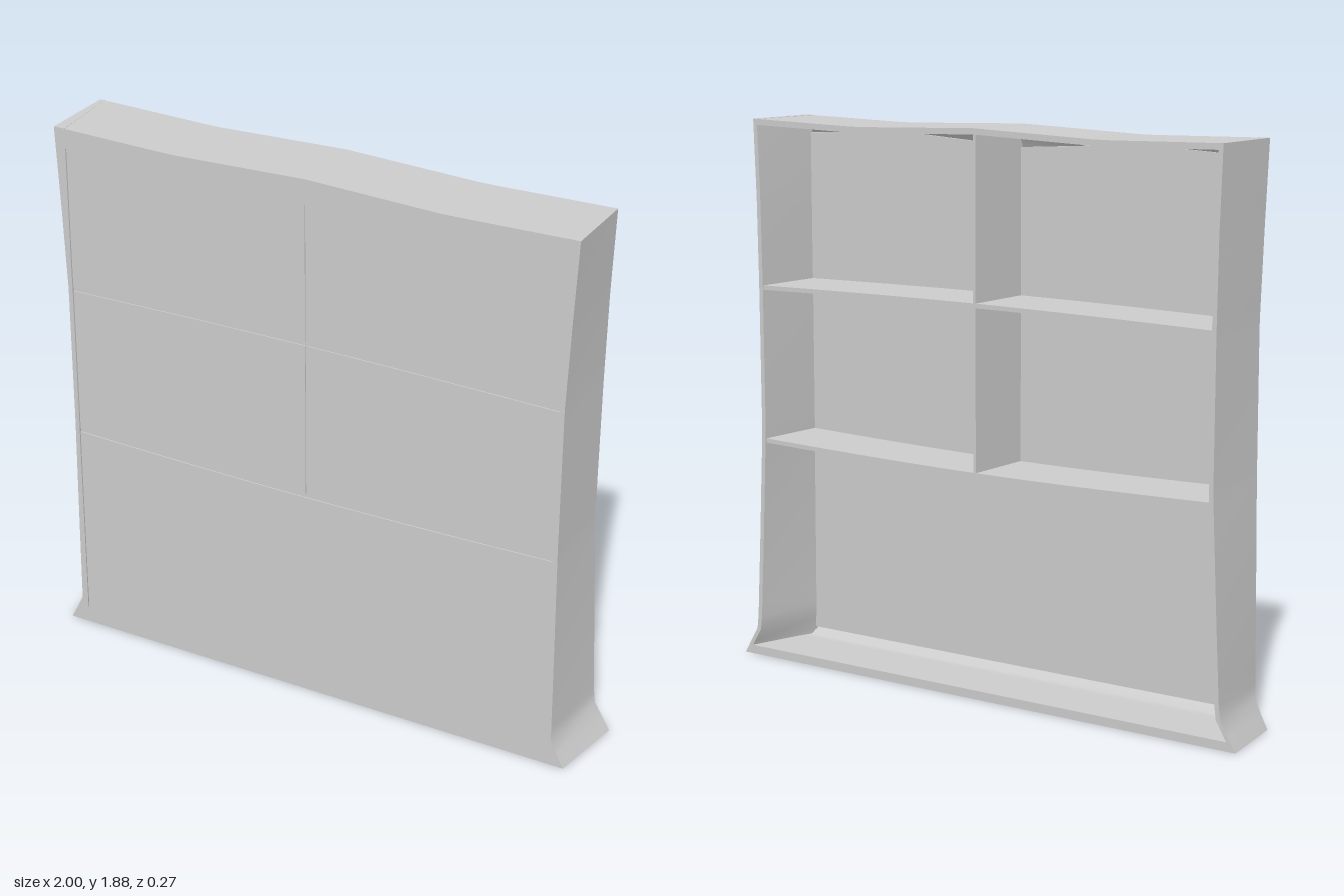
import * as THREE from 'three';

const FRONT = 0.136, BACK = -0.136;
const material = new THREE.MeshStandardMaterial({ color: 0xcccccc });
const lerp = THREE.MathUtils.lerp;

// Linear interpolation through [position, value] pairs
function profile(points, t) {
  for (let i = 1; i < points.length; i++) {
    const [a, va] = points[i - 1], [b, vb] = points[i];
    if (t <= b) return lerp(va, vb, Math.max(0, (t - a) / (b - a)));
  }
  return points[points.length - 1][1];
}

// Half-width of the case at each height, for the back and the front edges
const backEdge = [[0, 1], [0.1, 0.94], [0.4, 0.925], [0.8, 0.907], [1.3, 0.91], [1.6, 0.915], [1.87, 0.925]];
const frontEdge = [[0, 0.955], [0.09, 0.908], [0.4, 0.905], [0.8, 0.9], [1.3, 0.9], [1.6, 0.912], [1.87, 0.925]];
const halfWidth = (y, d) => lerp(profile(backEdge, y), profile(frontEdge, y), d);

// Gently waving top edge, its front lip, and the sagging shelves
const topLine = x => profile([[0, 1.876], [0.48, 1.86], [0.925, 1.87]], Math.abs(x));
const lipLine = x => profile([[0, 1.79], [0.48, 1.82], [0.9, 1.8]], Math.abs(x));
const upperLine = x => 1.305 + 0.01 * Math.cos(x * 1.75);
const lowerLine = x => 0.775 - 0.015 * Math.cos(x * 1.75);

// A box whose corners (u, v, w from 0 to 1) are placed by a rule
function slab(name, nx, ny, nz, rule) {
  const geometry = new THREE.BoxGeometry(1, 1, 1, nx, ny, nz);
  const p = geometry.attributes.position;
  for (let i = 0; i < p.count; i++) {
    p.setXYZ(i, ...rule(p.getX(i) + 0.5, p.getY(i) + 0.5, p.getZ(i) + 0.5));
  }
  geometry.computeVertexNormals();
  const mesh = new THREE.Mesh(geometry, material);
  mesh.name = name;
  return mesh;
}

export function createModel() {
  const group = new THREE.Group();
  group.name = 'cabinet';
  const depth = w => lerp(BACK, FRONT, w);

  // Curved side walls with a flared foot
  for (const [name, side] of [['leftSide', 1], ['rightSide', -1]]) {
    group.add(slab(name, 1, 40, 1, (u, v, w) => {
      const y = v * 1.87;
      const outer = halfWidth(y, w);
      const inner = lerp(outer - 0.016, Math.min(0.885, outer - 0.016), w);
      const outside = side > 0 ? u : 1 - u;
      return [side * lerp(inner, outer, outside), y, depth(w)];
    }));
  }

  // Top board, thin at the back with a deeper lip at the front
  group.add(slab('topBoard', 32, 1, 8, (u, v, w) => {
    const x = lerp(-0.922, 0.922, u);
    const top = topLine(x);
    const under = w > 0.9 ? lipLine(x) : top - 0.02;
    return [x, lerp(under, top, v), depth(w)];
  }));

  // Floor with a raised front rail
  group.add(slab('base', 1, 1, 8, (u, v, w) => {
    const y = v * (w > 0.9 ? 0.06 : 0.03);
    return [lerp(-1, 1, u) * (halfWidth(y, w) - 0.003), y, depth(w)];
  }));

  // Two shelves
  for (const [name, line] of [['upperShelf', upperLine], ['lowerShelf', lowerLine]]) {
    group.add(slab(name, 16, 1, 1, (u, v, w) => {
      const x = lerp(-0.895, 0.895, u);
      return [x, line(x) + lerp(-0.015, 0, v), lerp(BACK + 0.004, 0.126, w)];
    }));
  }

  // Upright divider above the lower shelf
  group.add(slab('divider', 1, 1, 1, (u, v, w) =>
    [lerp(-0.005, 0.005, u), lerp(0.76, 1.86, v), lerp(BACK + 0.004, 0.126, w)]));

  // Front panels: a wide one at the bottom and two rows of two above
  const panels = [
    ['bottomPanel', -0.89, 0.89, () => 0.055, x => lowerLine(x) - 0.014],
    ['middleRightPanel', -0.89, -0.004, lowerLine, x => upperLine(x) - 0.014],
    ['middleLeftPanel', 0.004, 0.89, lowerLine, x => upperLine(x) - 0.014],
    ['topRightPanel', -0.89, -0.004, upperLine, x => lipLine(x) + 0.01],
    ['topLeftPanel', 0.004, 0.89, upperLine, x => lipLine(x) + 0.01],
  ];
  for (const [name, x0, x1, low, high] of panels) {
    group.add(slab(name, 16, 1, 1, (u, v, w) => {
      const x = lerp(x0, x1, u);
      return [x, lerp(low(x), high(x), v), lerp(0.118, 0.13, w)];
    }));
  }
  return group;
}
